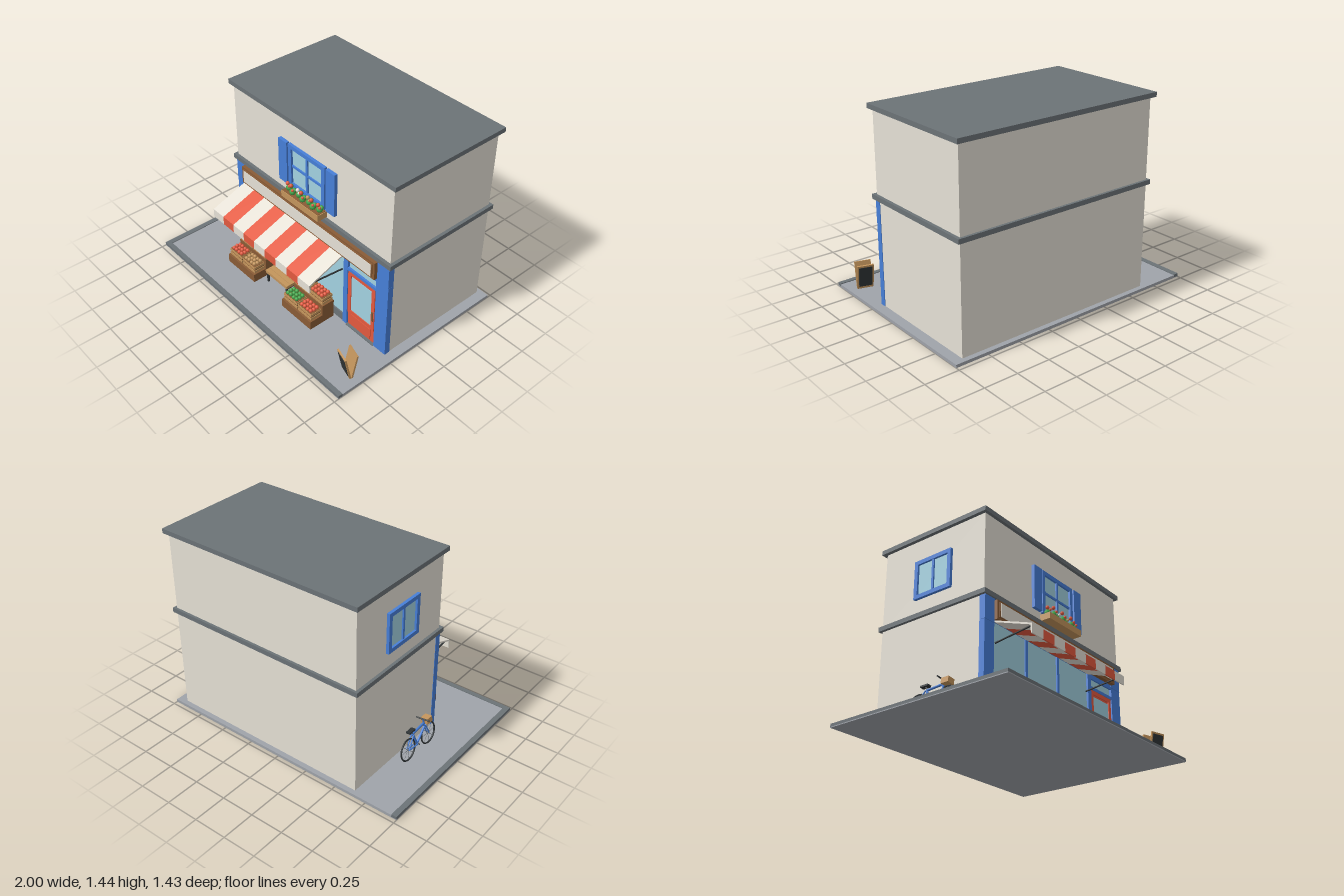
import * as THREE from 'three';

const mat = (name, color) => Object.assign(new THREE.MeshStandardMaterial({ color }), { name });
const M = {
  wall: mat('plaster', 0xe6e1d6), dark: mat('dark grey', 0x6c7377), paving: mat('paving', 0x9fa3aa),
  blue: mat('blue paint', 0x477fd8), red: mat('red', 0xe4593f), glass: mat('glass', 0xa3d2e1),
  brown: mat('brown wood', 0x8a5c36), tan: mat('tan wood', 0xc4955c), green: mat('green', 0x43a549),
  black: mat('black', 0x303537),
};

function add(parent, name, geometry, material) {
  const mesh = new THREE.Mesh(geometry, material);
  mesh.name = name;
  parent.add(mesh);
  return mesh;
}
// Box given by its limits on each axis
function box(parent, name, material, x0, x1, y0, y1, z0, z1) {
  const m = add(parent, name, new THREE.BoxGeometry(x1 - x0, y1 - y0, z1 - z0), material);
  m.position.set((x0 + x1) / 2, (y0 + y1) / 2, (z0 + z1) / 2);
}
function rod(parent, name, material, a, b, r) {
  const p = new THREE.Vector3(...a), q = new THREE.Vector3(...b);
  const m = add(parent, name, new THREE.CylinderGeometry(r, r, p.distanceTo(q), 8), material);
  m.position.copy(p).lerp(q, 0.5);
  m.quaternion.setFromUnitVectors(new THREE.Vector3(0, 1, 0), q.sub(p).normalize());
}
function ball(parent, name, material, x, y, z, r) {
  add(parent, name, new THREE.SphereGeometry(r, 8, 6), material).position.set(x, y, z);
}
function group(parent, name, x = 0, y = 0, z = 0) {
  const g = new THREE.Group();
  g.name = name;
  g.position.set(x, y, z);
  parent.add(g);
  return g;
}
// Rectangular frame of four bars around an opening
function frame(parent, name, material, x0, x1, y0, y1, z0, z1, t) {
  box(parent, name, material, x0, x0 + t, y0, y1, z0, z1);
  box(parent, name, material, x1 - t, x1, y0, y1, z0, z1);
  box(parent, name, material, x0 + t, x1 - t, y0, y0 + t, z0, z1);
  box(parent, name, material, x0 + t, x1 - t, y1 - t, y1, z0, z1);
}

function buildShell(root) {
  const g = group(root, 'building');
  box(g, 'baseSlab', M.paving, -1, 1, 0, 0.006, -0.72, 0.715);
  box(g, 'pavement', M.paving, -0.96, 1, 0.006, 0.022, -0.72, 0.68);
  box(g, 'sideKerb', M.dark, -1, -0.96, 0.006, 0.027, -0.72, 0.715);
  box(g, 'frontKerb', M.dark, -0.96, 1, 0.006, 0.027, 0.68, 0.715);
  box(g, 'lowerWalls', M.wall, -0.643, 0.927, 0.02, 0.8, -0.683, 0.2);
  box(g, 'upperWalls', M.wall, -0.643, 0.927, 0.8, 1.41, -0.683, 0.232);
  box(g, 'corniceBand', M.dark, -0.665, 0.95, 0.795, 0.829, -0.702, 0.256);
  box(g, 'roof', M.dark, -0.67, 0.955, 1.41, 1.444, -0.713, 0.256);
}

function buildShopfront(root) {
  const g = group(root, 'shopfront');
  box(g, 'facadeBoard', M.blue, -0.645, 0.93, 0.022, 0.797, 0.199, 0.222);
  for (const [x0, x1] of [[-0.646, -0.55], [0.82, 0.931]]) {
    box(g, 'pilaster', M.blue, x0, x1, 0.022, 0.62, 0.198, 0.242);
    box(g, 'pilasterHead', M.blue, x0, x1, 0.622, 0.797, 0.198, 0.244);
  }
  box(g, 'fascia', M.blue, -0.55, 0.82, 0.635, 0.797, 0.222, 0.24);
  box(g, 'displayGlass', M.glass, -0.55, 0.51, 0.085, 0.635, 0.222, 0.227);
  box(g, 'stallRiser', M.dark, -0.55, 0.51, 0.022, 0.085, 0.222, 0.238);
  for (const x of [-0.205, 0.15]) box(g, 'mullion', M.blue, x - 0.012, x + 0.012, 0.085, 0.635, 0.222, 0.238);
  box(g, 'doorPost', M.blue, 0.51, 0.55, 0.022, 0.635, 0.222, 0.242);

  // Door with transom light
  box(g, 'door', M.red, 0.552, 0.81, 0.03, 0.525, 0.222, 0.23);
  frame(g, 'doorStiles', M.red, 0.552, 0.81, 0.145, 0.525, 0.23, 0.238, 0.03);
  box(g, 'doorPanel', M.red, 0.585, 0.777, 0.045, 0.135, 0.23, 0.235);
  box(g, 'doorGlass', M.glass, 0.582, 0.78, 0.175, 0.48, 0.23, 0.233);
  box(g, 'doorHandle', M.brown, 0.789, 0.803, 0.235, 0.315, 0.238, 0.244);
  box(g, 'doorStep', M.dark, 0.55, 0.82, 0.022, 0.03, 0.222, 0.25);
  box(g, 'transomBar', M.blue, 0.55, 0.82, 0.525, 0.548, 0.222, 0.242);
  box(g, 'transomGlass', M.glass, 0.555, 0.812, 0.548, 0.608, 0.222, 0.227);
  box(g, 'doorHead', M.blue, 0.55, 0.82, 0.608, 0.635, 0.222, 0.24);

  // Sign board with a raised panel
  box(g, 'signBoard', M.brown, -0.553, 0.827, 0.643, 0.782, 0.24, 0.27);
  box(g, 'signPanel', M.brown, -0.534, 0.809, 0.66, 0.768, 0.27, 0.277);
  box(g, 'signFace', M.wall, -0.526, 0.801, 0.664, 0.762, 0.277, 0.28);
}

function buildAwning(root) {
  const g = group(root, 'awning');
  const profile = new THREE.Shape([[0.24, 0.628], [0.532, 0.523], [0.532, 0.466], [0.541, 0.466], [0.541, 0.533], [0.24, 0.641]]
    .map(([z, y]) => new THREE.Vector2(z, y)));
  const w = 1.06 / 9;
  for (let i = 0; i < 9; i++) {
    const geo = new THREE.ExtrudeGeometry(profile, { depth: w, bevelEnabled: false });
    geo.rotateY(-Math.PI / 2).translate(-0.55 + (i + 1) * w, 0, 0);
    add(g, 'awningStripe', geo, i % 2 ? M.red : M.wall);
  }
  for (const x of [-0.53, 0.49]) rod(g, 'awningArm', M.black, [x, 0.527, 0.53], [x, 0.49, 0.235], 0.006);
}

// Window facing +z, centred on its group
function buildWindow(root, name, w, h, crossBar) {
  const g = group(root, name);
  box(g, 'pane', M.glass, -w / 2 + 0.02, w / 2 - 0.02, -h / 2 + 0.02, h / 2 - 0.02, 0, 0.006);
  frame(g, 'windowFrame', M.blue, -w / 2, w / 2, -h / 2, h / 2, 0, 0.022, 0.03);
  box(g, 'verticalBar', M.blue, -0.009, 0.009, -h / 2 + 0.02, h / 2 - 0.02, 0.002, 0.017);
  if (crossBar) box(g, 'crossBar', M.blue, -w / 2 + 0.02, w / 2 - 0.02, -0.008, 0.008, 0.002, 0.016);
  return g;
}

function buildUpperWindows(root) {
  buildWindow(root, 'frontWindow', 0.365, 0.335, true).position.set(0.143, 1.07, 0.232);
  for (const x of [-0.137, 0.34]) box(root, 'shutter', M.blue, x, x + 0.086, 0.905, 1.237, 0.232, 0.257);
  const side = buildWindow(root, 'sideWindow', 0.33, 0.295, false);
  side.position.set(-0.643, 1.088, -0.215);
  side.rotation.y = -Math.PI / 2;

  // Flower box
  const g = group(root, 'flowerBox');
  box(g, 'trough', M.tan, -0.045, 0.33, 0.837, 0.885, 0.234, 0.316);
  box(g, 'soil', M.brown, -0.04, 0.325, 0.885, 0.888, 0.239, 0.311);
  for (let i = 0; i < 7; i++) {
    const x = -0.012 + i * 0.052, z = 0.272 + (i % 2) * 0.014;
    ball(g, 'leaves', M.green, x, 0.902, z, 0.023);
    ball(g, 'leaves', M.green, x + 0.012, 0.92, z - 0.006, 0.017);
    const petal = i === 2 ? M.wall : i === 4 ? M.tan : M.red;
    ball(g, 'flower', petal, x - 0.008, 0.938 + (i % 2) * 0.014, z + 0.006, 0.014);
    ball(g, 'flower', petal, x + 0.016, 0.929, z + 0.014, 0.01);
  }
}

function buildCrate(root, x, y, z, fruit) {
  const g = group(root, 'crate', x, y, z);
  box(g, 'crateBody', M.brown, -0.067, 0.067, 0, 0.058, -0.042, 0.042);
  for (const y0 of [0.004, 0.036]) box(g, 'crateSlat', M.tan, -0.071, 0.071, y0, y0 + 0.02, -0.046, 0.046);
  for (let i = 0; i < 4; i++) for (let j = 0; j < 3; j++)
    ball(g, 'produce', fruit, -0.047 + i * 0.031, 0.064 + ((i + j) % 2) * 0.005, -0.027 + j * 0.027, 0.015);
}

function buildStand(root, x, kinds) {
  const g = group(root, 'produceStand', x);
  box(g, 'backTier', M.brown, -0.155, 0.155, 0.022, 0.172, 0.255, 0.357);
  box(g, 'frontTier', M.brown, -0.155, 0.155, 0.022, 0.09, 0.357, 0.468);
  kinds.forEach((fruit, i) => {
    const back = i < 2;
    buildCrate(g, i % 2 ? 0.076 : -0.076, back ? 0.172 : 0.09, back ? 0.307 : 0.409, fruit);
  });
}

function buildBench(root) {
  const g = group(root, 'bench', -0.04);
  for (let i = 0; i < 3; i++) box(g, 'seatSlat', M.tan, -0.12, 0.12, 0.104, 0.129, 0.285 + i * 0.037, 0.319 + i * 0.037);
  for (const y of [0.139, 0.176]) box(g, 'backSlat', M.tan, -0.12, 0.12, y, y + 0.034, 0.27, 0.283);
  for (const x of [-0.106, 0.106]) {
    box(g, 'rearLeg', M.black, x - 0.008, x + 0.008, 0.022, 0.2, 0.26, 0.27);
    box(g, 'frontLeg', M.black, x - 0.008, x + 0.008, 0.022, 0.104, 0.375, 0.387);
    box(g, 'legRail', M.black, x - 0.008, x + 0.008, 0.09, 0.104, 0.27, 0.375);
  }
}

function buildBoardSign(root) {
  const g = group(root, 'pavementSign', 0.885, 0.024, 0.535);
  g.rotation.y = -0.28;
  for (const turn of [0, Math.PI]) {
    const half = group(g, 'signSide');
    half.rotation.y = turn;
    const leaf = group(half, 'signLeaf', 0, 0, 0.006);
    leaf.rotation.x = 0.2;
    box(leaf, 'leafBoard', M.tan, -0.058, 0.058, 0, 0.19, -0.006, 0.006);
    box(leaf, 'chalkPanel', M.black, -0.047, 0.047, 0.018, 0.176, 0.006, 0.009);
  }
}

function buildBicycle(root) {
  // Built in the y-z plane, then leaned towards the wall
  const g = group(root, 'bicycle', -0.748, 0.024, 0);
  g.rotation.z = -0.13;
  for (const z of [-0.22, 0.02]) {
    const wheel = group(g, 'wheel', 0, 0.085, z);
    wheel.rotation.y = Math.PI / 2;
    add(wheel, 'tyre', new THREE.TorusGeometry(0.079, 0.006, 6, 24), M.black);
    ball(wheel, 'hub', M.dark, 0, 0, 0, 0.009);
    for (let i = 0; i < 4; i++) {
      const a = i * Math.PI / 4, c = 0.076 * Math.cos(a), s = 0.076 * Math.sin(a);
      rod(wheel, 'spokes', M.dark, [-c, -s, 0], [c, s, 0], 0.0015);
    }
  }
  const crank = [0, 0.075, -0.115], seat = [0, 0.178, -0.155], head = [0, 0.188, -0.02], low = [0, 0.16, -0.012];
  for (const [a, b] of [[crank, seat], [seat, head], [crank, low], [head, low]])
    rod(g, 'frameTube', M.blue, a, b, 0.008);
  for (const x of [-0.01, 0.01]) {
    rod(g, 'forkBlade', M.blue, [x, 0.175, -0.016], [x, 0.085, 0.02], 0.005);
    rod(g, 'seatStay', M.blue, [x, 0.172, -0.157], [x, 0.085, -0.22], 0.005);
    rod(g, 'chainStay', M.blue, [x, 0.075, -0.115], [x, 0.085, -0.22], 0.005);
  }
  rod(g, 'seatPost', M.dark, seat, [0, 0.207, -0.168], 0.004);
  box(g, 'saddle', M.black, -0.017, 0.017, 0.205, 0.217, -0.205, -0.14);
  rod(g, 'steeringStem', M.blue, head, [0, 0.222, -0.026], 0.006);
  rod(g, 'handlebar', M.black, [-0.055, 0.222, -0.026], [0.055, 0.222, -0.026], 0.005);
  rod(g, 'pedalShaft', M.black, [-0.022, 0.075, -0.115], [0.022, 0.075, -0.115], 0.005);
  box(g, 'basket', M.tan, -0.028, 0.028, 0.178, 0.218, -0.016, 0.045);
}

export function createModel() {
  const root = new THREE.Group();
  root.name = 'cornerShop';
  buildShell(root);
  buildShopfront(root);
  buildAwning(root);
  buildUpperWindows(root);
  buildStand(root, -0.358, [M.red, M.green, M.red, M.tan]);
  buildStand(root, 0.275, [M.tan, M.red, M.green, M.red]);
  buildBench(root);
  buildBoardSign(root);
  buildBicycle(root);
  return root;
}
